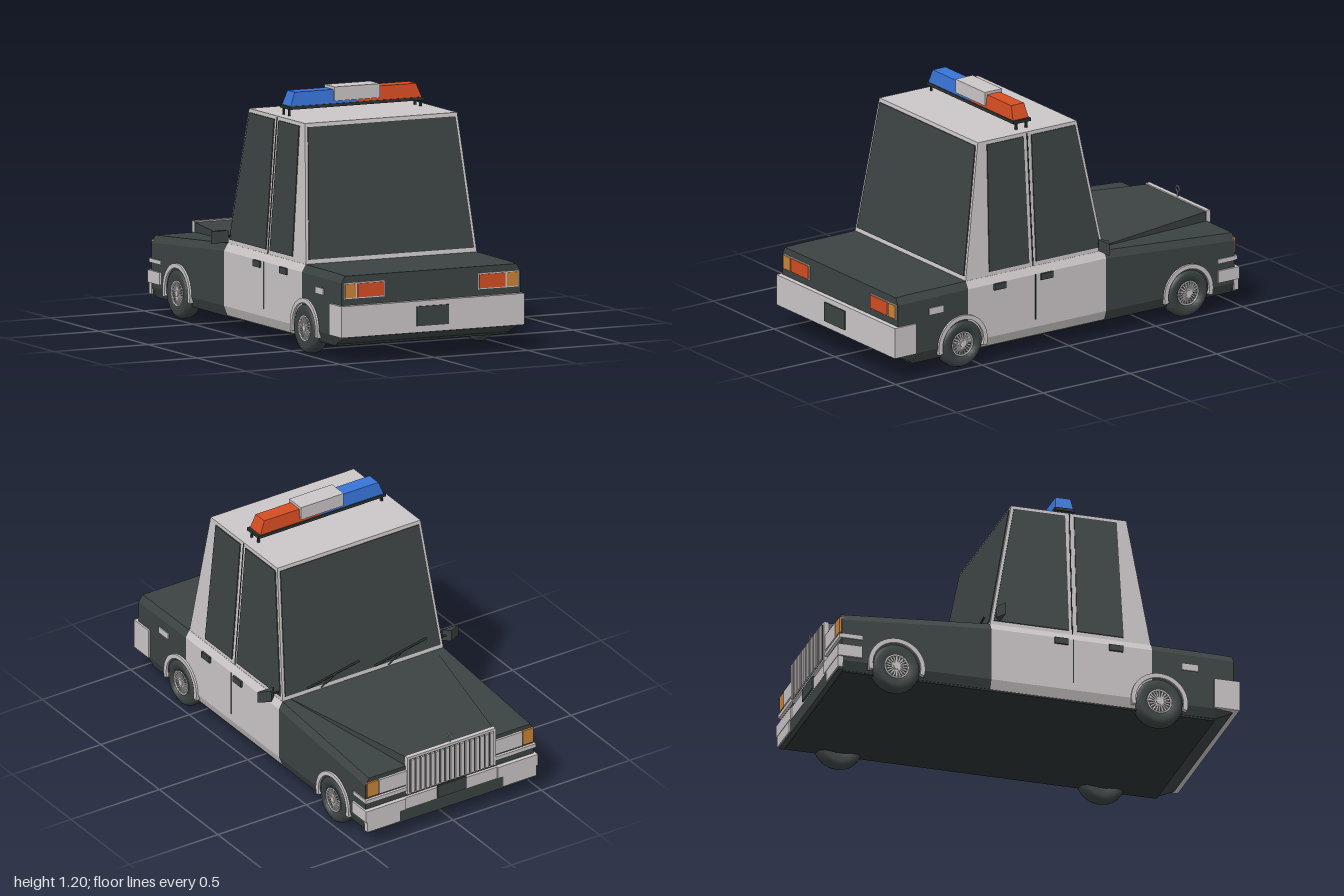
import * as THREE from 'three';

const mat = (name, color) => {
  const m = new THREE.MeshStandardMaterial({ color });
  m.name = name;
  return m;
};

export function createModel() {
  const car = new THREE.Group();
  car.name = 'patrolCar';
  const dark = mat('darkPaint', 0x3b4342), white = mat('whitePaint', 0xcbc5c6);
  const blue = mat('blueLens', 0x3873d6), red = mat('redLens', 0xd44c22);
  const amber = mat('amberLens', 0xca8339), black = mat('blackTrim', 0x2b3131);

  const add = (name, geo, m, parent = car) => {
    const mesh = new THREE.Mesh(geo, m);
    mesh.name = name;
    parent.add(mesh);
    return mesh;
  };
  // box given by its limits on each axis
  const box = (name, m, x0, x1, y0, y1, z0, z1, parent = car) => {
    const b = add(name, new THREE.BoxGeometry(Math.abs(x1 - x0), y1 - y0, z1 - z0), m, parent);
    b.position.set((x0 + x1) / 2, (y0 + y1) / 2, (z0 + z1) / 2);
    return b;
  };
  // flat-shaded solid through rings of equal length, each counterclockwise seen from its far end
  const loft = (name, m, rings) => {
    const pos = [], n = rings[0].length;
    const tri = (...p) => p.forEach(v => pos.push(...v));
    for (let i = 0; i < rings.length - 1; i++) for (let j = 0; j < n; j++) {
      const k = (j + 1) % n, a = rings[i], b = rings[i + 1];
      tri(a[j], a[k], b[k]);
      tri(a[j], b[k], b[j]);
    }
    const first = rings[0], last = rings[rings.length - 1];
    for (let j = 1; j < n - 1; j++) {
      tri(first[0], first[j + 1], first[j]);
      tri(last[0], last[j], last[j + 1]);
    }
    const g = new THREE.BufferGeometry();
    g.setAttribute('position', new THREE.Float32BufferAttribute(pos, 3));
    g.computeVertexNormals();
    return add(name, g, m);
  };
  // thin plate standing out from four corners, counterclockwise seen from outside
  const panel = (name, m, corners, t = 0.005) => {
    const v = corners.map(c => new THREE.Vector3(...c));
    const n = v[1].clone().sub(v[0]).cross(v[2].clone().sub(v[0])).normalize().multiplyScalar(t);
    return loft(name, m, [corners, v.map(p => p.clone().add(n).toArray())]);
  };
  const rod = (name, m, a, b, r) => {
    const curve = new THREE.LineCurve3(new THREE.Vector3(...a), new THREE.Vector3(...b));
    return add(name, new THREE.TubeGeometry(curve, 1, r, 5), m);
  };

  // lower body: chamfered sections along z, in three paint zones
  const section = (z, top, bottom) => {
    const half = [[0.458, bottom], [0.476, bottom + 0.045], [0.476, top - 0.035], [0.456, top]];
    return [...half.map(([x, y]) => [x, y, z]), ...half.reverse().map(([x, y]) => [-x, y, z])];
  };
  loft('frontBody', dark, [section(-0.97, 0.365, 0.075), section(-0.23, 0.42, 0.078)]);
  loft('doorBody', white, [section(-0.23, 0.42, 0.078), section(0.565, 0.42, 0.078)]);
  loft('rearBody', dark, [section(0.565, 0.42, 0.078), section(0.88, 0.418, 0.08), section(0.968, 0.415, 0.12)]);
  box('floor', black, -0.456, 0.456, 0.07, 0.079, -0.96, 0.88);
  // raised bonnet narrowing to the grille
  const hood = (z, w, top) => [[w, 0.3, z], [w, top, z], [-w, top, z], [-w, 0.3, z]];
  loft('bonnet', dark, [hood(-0.975, 0.245, 0.412), hood(-0.232, 0.41, 0.421)]);

  // cabin and its glass
  const f = y => (y - 0.42) / 0.655;
  const side = y => 0.455 - 0.05 * f(y);
  const rear = y => 0.565 - 0.105 * f(y);
  const nose = y => -0.23 + 0.12 * f(y);
  const ring = y => [[side(y), y, rear(y)], [side(y), y, nose(y)], [-side(y), y, nose(y)], [-side(y), y, rear(y)]];
  loft('cabin', white, [ring(0.415), ring(1.075)]);
  const lo = 0.44, hi = 1.057, wl = side(lo) - 0.014, wh = side(hi) - 0.014;
  panel('rearWindow', dark, [[-wl, lo, rear(lo)], [wl, lo, rear(lo)], [wh, hi, rear(hi)], [-wh, hi, rear(hi)]]);
  panel('windscreen', dark, [[wl, lo, nose(lo)], [-wl, lo, nose(lo)], [-wh, hi, nose(hi)], [wh, hi, nose(hi)]]);
  const sideGlass = (name, s, back, front) => {
    const c = [[s * side(lo), lo, back[0]], [s * side(lo), lo, front[0]],
      [s * side(hi), hi, front[1]], [s * side(hi), hi, back[1]]];
    panel(name, dark, s > 0 ? c : c.reverse());
  };

  // wheel parts shared by all four corners
  const tyreGeo = new THREE.LatheGeometry([[0.06, -0.035], [0.095, -0.042], [0.112, -0.032], [0.12, -0.015],
    [0.12, 0.015], [0.112, 0.032], [0.095, 0.042], [0.06, 0.035], [0.06, -0.035]]
    .map(p => new THREE.Vector2(...p)), 24).rotateZ(-Math.PI / 2);
  const discGeo = new THREE.CylinderGeometry(0.062, 0.062, 0.06, 24).rotateZ(Math.PI / 2);
  const rimGeo = new THREE.TorusGeometry(0.058, 0.005, 5, 24).rotateY(Math.PI / 2);
  const hubGeo = new THREE.CylinderGeometry(0.016, 0.016, 0.012, 12).rotateZ(Math.PI / 2);
  const spokeGeo = new THREE.BoxGeometry(0.006, 0.045, 0.006).translate(0, 0.036, 0);
  const archShape = new THREE.Shape();
  archShape.absarc(0, 0, 0.14, -0.25, Math.PI + 0.25, false);
  archShape.absarc(0, 0, 0.118, Math.PI + 0.25, -0.25, true);
  const archGeo = new THREE.ExtrudeGeometry(archShape, { depth: 0.03, bevelEnabled: false, curveSegments: 20 })
    .translate(0, 0, -0.015).rotateY(Math.PI / 2);
  const wheel = (s, z) => {
    const g = new THREE.Group();
    g.name = 'wheel';
    g.position.set(s * 0.445, 0.122, z);
    add('tyre', tyreGeo, dark, g);
    add('wheelDisc', discGeo, dark, g);
    add('rim', rimGeo, white, g).position.x = s * 0.033;
    add('hub', hubGeo, white, g).position.x = s * 0.034;
    for (let i = 0; i < 20; i++) {
      const spoke = add('spoke', spokeGeo, white, g);
      spoke.position.x = s * 0.033;
      spoke.rotation.x = i * Math.PI / 10;
    }
    car.add(g);
    add('wheelArch', archGeo, white).position.set(s * 0.471, 0.125, z);
  };

  for (const s of [1, -1]) {
    wheel(s, 0.6);
    wheel(s, -0.7);
    sideGlass('rearSideWindow', s, [0.43, 0.41], [0.2, 0.2]);
    sideGlass('frontSideWindow', s, [0.16, 0.155], [-0.212, -0.098]);
    // door gap, handles and side marker
    box('doorGap', black, s * 0.474, s * 0.478, 0.16, 0.385, 0.174, 0.179);
    rod('pillarGap', black, [s * side(0.42), 0.42, 0.177], [s * side(1.07), 1.07, 0.177], 0.003);
    for (const z of [0.385, 0.115]) box('doorHandle', dark, s * 0.47, s * 0.486, 0.353, 0.384, z - 0.034, z + 0.034);
    box('sideMarker', white, s * 0.472, s * 0.481, 0.303, 0.335, 0.71, 0.79);
    // wing mirror: wedge housing on an arm
    rod('mirrorArm', black, [s * 0.44, 0.46, -0.2], [s * 0.49, 0.46, -0.2], 0.005);
    const mirror = y => {
      const r = [[s * 0.475, y, -0.187], [s * 0.568, y, -0.187], [s * 0.51, y, -0.218]];
      return s > 0 ? r : r.reverse();
    };
    loft('wingMirror', dark, [mirror(0.43), mirror(0.488)]);
    // tail lamps
    box('tailLampFrame', white, s * 0.25, s * 0.464, 0.306, 0.382, 0.96, 0.972);
    box('brakeLamp', red, s * 0.255, s * 0.393, 0.311, 0.377, 0.966, 0.976);
    box('rearIndicator', amber, s * 0.402, s * 0.459, 0.311, 0.377, 0.966, 0.976);
    // headlamps and front bumper corners
    box('headlamp', white, s * 0.25, s * 0.405, 0.268, 0.345, -0.982, -0.965);
    box('frontIndicator', amber, s * 0.41, s * 0.47, 0.268, 0.345, -0.98, -0.955);
    box('lampTrim', white, s * 0.25, s * 0.481, 0.236, 0.256, -0.984, -0.87);
    box('bumperEnd', white, s * 0.26, s * 0.486, 0.14, 0.2, -0.992, -0.87);
    box('bumperCorner', white, s * 0.29, s * 0.478, 0.085, 0.14, -0.99, -0.965);
    // windscreen wiper
    const c = s > 0 ? 0.02 : -0.36;
    rod('wiper', black, [c, 0.5, nose(0.5) - 0.012], [c + 0.3, 0.45, nose(0.45) - 0.012], 0.005);
    rod('wiperArm', black, [c + 0.22, 0.43, nose(0.43) - 0.008], [c + 0.14, 0.477, nose(0.477) - 0.014], 0.004);
  }

  // rear bumper and plate
  box('rearBumper', white, -0.49, 0.485, 0.125, 0.275, 0.87, 0.994);
  box('rearPlate', dark, -0.09, 0.08, 0.156, 0.25, 0.993, 1);

  // grille with upright slats, and the ring on top
  box('grilleFrame', white, -0.25, 0.25, 0.215, 0.418, -0.988, -0.965);
  box('grilleInset', dark, -0.238, 0.238, 0.225, 0.405, -0.991, -0.985);
  for (let i = 0; i < 17; i++) {
    const x = -0.224 + i * 0.028;
    box('grilleSlat', white, x - 0.01, x + 0.01, 0.225, 0.405, -0.998, -0.988);
  }
  rod('ornamentStem', white, [0, 0.415, -0.975], [0, 0.442, -0.975], 0.003);
  add('ornamentRing', new THREE.TorusGeometry(0.014, 0.003, 5, 16), white).position.set(0, 0.456, -0.975);
  // front bumper middle and plate
  box('bumperMiddle', white, -0.26, 0.26, 0.14, 0.2, -0.985, -0.96);
  box('lowerValance', dark, -0.47, 0.47, 0.075, 0.14, -0.984, -0.96);
  box('frontPlate', dark, -0.08, 0.08, 0.145, 0.21, -0.993, -0.984);

  // roof light bar
  box('lightBarBase', black, -0.362, 0.358, 1.106, 1.121, 0.12, 0.22);
  for (const x of [-0.352, 0.346]) for (const z of [0.142, 0.198])
    box('lightBarPost', black, x - 0.005, x + 0.005, 1.07, 1.108, z - 0.005, z + 0.005);
  const lens = (s, y, outer, d) => {
    const r = [[0, y, 0.17 + d], [s * outer, y, 0.17 + d], [s * outer, y, 0.17 - d], [0, y, 0.17 - d]];
    return s > 0 ? r : r.reverse();
  };
  loft('redLight', red, [lens(1, 1.12, 0.345, 0.045), lens(1, 1.187, 0.318, 0.037)]);
  loft('blueLight', blue, [lens(-1, 1.12, 0.353, 0.045), lens(-1, 1.187, 0.328, 0.037)]);
  box('lightBarCentre', white, -0.123, 0.12, 1.133, 1.2, 0.12, 0.22);

  return car;
}
